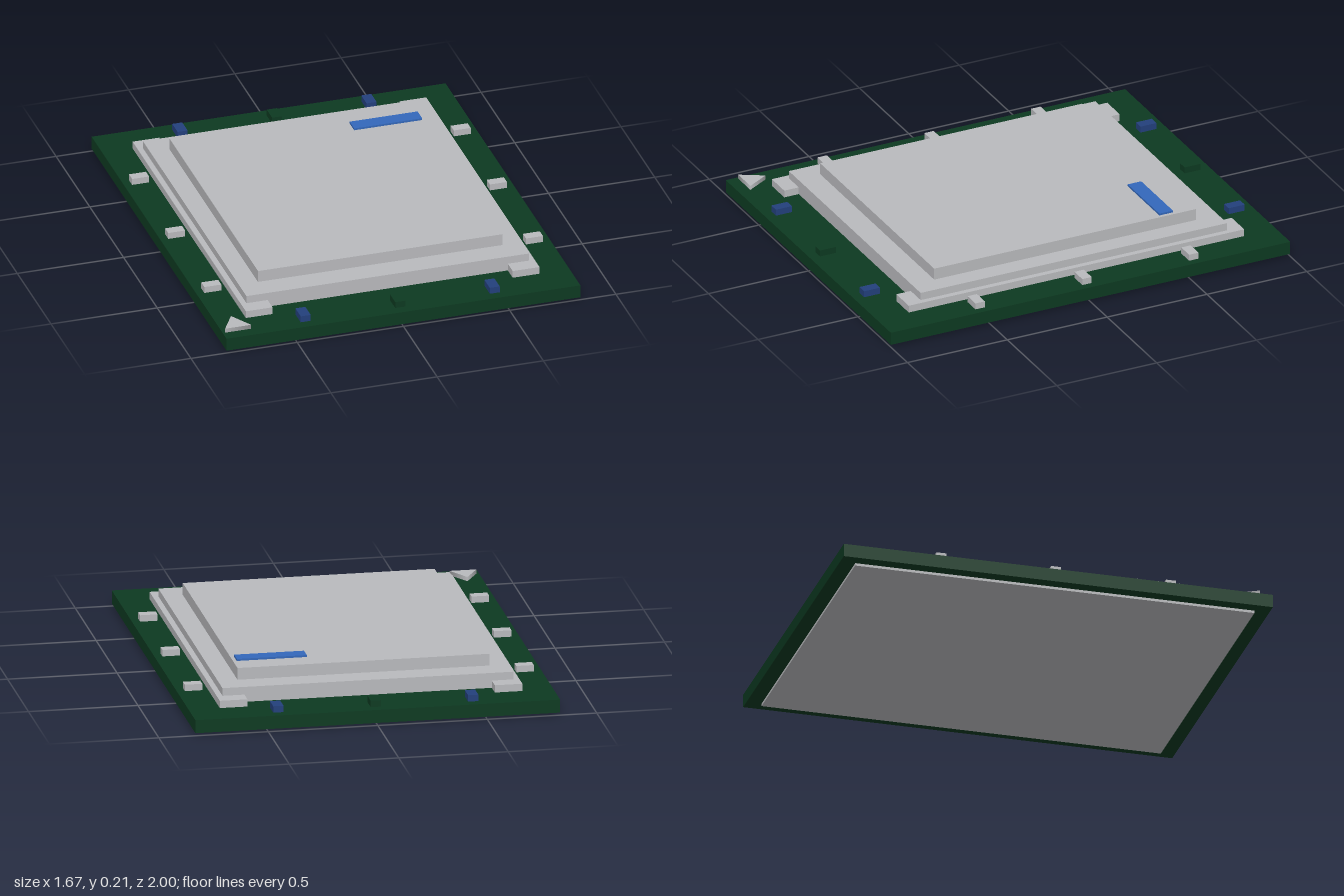
import * as THREE from 'three';

const material = (name, color) => {
  const m = new THREE.MeshStandardMaterial({ color });
  m.name = name;
  return m;
};

export function createModel() {
  const group = new THREE.Group();
  const green = material('boardGreen', 0x0d3a21);
  const silver = material('silver', 0xb9babd);
  const navy = material('navy', 0x23407c);
  const blue = material('labelBlue', 0x3368bb);

  // Box given by its plan centre, plan size and bottom/top heights
  const slab = (name, mat, x, z, width, depth, bottom, top) => {
    const mesh = new THREE.Mesh(new THREE.BoxGeometry(width, top - bottom, depth), mat);
    mesh.name = name;
    mesh.position.set(x, (bottom + top) / 2, z);
    group.add(mesh);
  };

  const boardTop = 0.073;

  // Circuit board and the contact plate beneath it
  slab('contactPlate', silver, 0, 0, 1.55, 1.86, 0, 0.013);
  slab('board', green, 0, 0, 1.666, 2, 0.012, boardTop);

  // Stepped heat spreader
  for (const side of [-1, 1]) {
    slab('spreaderRail', silver, side * 0.628, 0, 0.126, 1.68, boardTop, 0.107);
  }
  slab('spreaderBase', silver, 0, 0, 1.33, 1.535, boardTop, 0.143);
  slab('spreaderTop', silver, 0, 0, 1.15, 1.31, 0.143, 0.198);
  slab('label', blue, 0.398, -0.515, 0.32, 0.068, 0.198, 0.207);

  // Small components along the side edges
  for (const side of [-1, 1]) {
    for (const z of [-0.535, 0, 0.535]) {
      slab('sideComponent', silver, side * 0.757, z, 0.08, 0.047, boardTop, 0.103);
    }
  }

  // Small components along the front and back edges
  for (const side of [-1, 1]) {
    for (const x of [-0.445, 0, 0.445]) {
      slab('edgeComponent', x === 0 ? green : navy, x, side * 0.913, 0.047, 0.08, boardTop, 0.103);
    }
  }

  // Triangular orientation marker at the front corner
  const marker = new THREE.Mesh(new THREE.CylinderGeometry(0.071, 0.071, 0.02, 3), silver);
  marker.name = 'cornerMarker';
  marker.position.set(-0.76, boardTop + 0.01, 0.908);
  marker.rotation.y = Math.PI;
  group.add(marker);

  return group;
}
